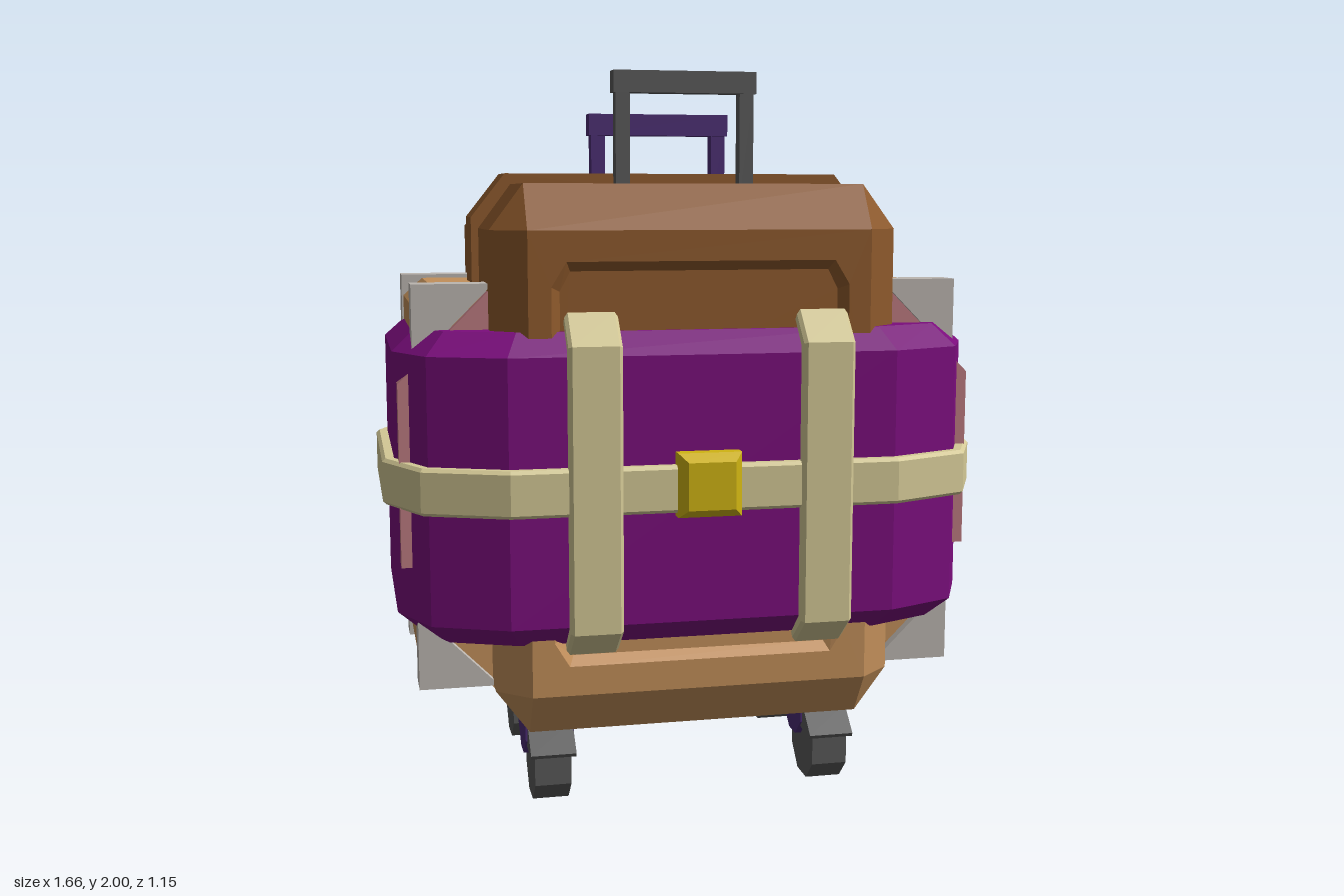
import * as THREE from 'three';

const mat = (name, color, side = THREE.FrontSide) => {
  const m = new THREE.MeshStandardMaterial({ color, flatShading: true, side });
  m.name = name;
  return m;
};

// Joins matching counter-clockwise cross-sections stacked along +z; rings = [{z, pts}]
function loft(rings, capStart = false, capEnd = false) {
  const pos = [];
  const n = rings[0].pts.length;
  const put = (r, j) => pos.push(...rings[r].pts[j % n], rings[r].z);
  for (let i = 0; i < rings.length - 1; i++)
    for (let j = 0; j < n; j++) {
      put(i, j); put(i, j + 1); put(i + 1, j + 1);
      put(i, j); put(i + 1, j + 1); put(i + 1, j);
    }
  const last = rings.length - 1;
  for (let j = 1; j < n - 1; j++) {
    if (capStart) { put(0, 0); put(0, j + 1); put(0, j); }
    if (capEnd) { put(last, 0); put(last, j); put(last, j + 1); }
  }
  const g = new THREE.BufferGeometry();
  g.setAttribute('position', new THREE.Float32BufferAttribute(pos, 3));
  g.computeVertexNormals();
  return g;
}

const toShape = (pts) => new THREE.Shape(pts.map((p) => new THREE.Vector2(...p)));

// Extruded outline centred on its depth, with optional hole and small bevel
function prism(pts, depth, hole, bevel = 0) {
  const s = toShape(pts);
  if (hole) s.holes.push(toShape(hole));
  const d = depth - 2 * bevel;
  return new THREE.ExtrudeGeometry(s, {
    depth: d, bevelEnabled: bevel > 0, bevelThickness: bevel, bevelSize: bevel,
    bevelOffset: -bevel, bevelSegments: 1,
  }).translate(0, 0, -d / 2);
}
// Same, with the outline given as (z, y) and the depth running along x
const sidePrism = (pts, depth, bevel) => prism(pts, depth, null, bevel).rotateY(-Math.PI / 2);

// Twelve-sided plan outline from one quarter, counter-clockwise
function quarterOutline(q) {
  const m = (sx, sy) => q.map(([x, y]) => [x * sx, y * sy]);
  return [...m(1, 1).reverse(), ...m(-1, 1), ...m(-1, -1).reverse(), ...m(1, -1)];
}

export function createModel() {
  const model = new THREE.Group();
  model.name = 'suitcaseBundle';
  const brown = mat('brown leather', 0x8f5a2c);
  const tan = mat('tan leather', 0xc28f5a);
  const purple = mat('purple fabric', 0x7a0d7c);
  const cream = mat('cream strap', 0xd4c996);
  const silver = mat('silver corner', 0xbcb6b0);
  const pink = mat('pink lining', 0xbc7a80);
  const gold = mat('gold buckle', 0xd0b412);
  const grey = mat('dark grey', 0x595959);
  const violet = mat('violet plastic', 0x4b2c74);

  const add = (parent, name, geo, material, x = 0, y = 0, z = 0) => {
    const m = new THREE.Mesh(geo, material);
    m.name = name;
    m.position.set(x, y, z);
    parent.add(m);
    return m;
  };
  const box = (w, h, d) => new THREE.BoxGeometry(w, h, d);

  // Main suitcase: two equal halves with chamfered corners and recessed panels
  const section = (a, h1, b, h2) => [[-a, 0], [a, 0], [a, h1], [b, h2], [-b, h2], [-a, h1]];
  const mid = section(0.55, 0.615, 0.46, 0.735);
  const end = section(0.46, 0.615, 0.46, 0.615);
  const shellGeo = loft([
    { z: -0.46, pts: end }, { z: -0.38, pts: mid }, { z: 0.38, pts: mid }, { z: 0.46, pts: end }]);
  const recess = (i) => [
    [-0.4 + i, 0.1 + i], [-0.4 + i, 0.47 - i / 2], [-0.36 + i / 2, 0.535 - i],
    [0.36 - i / 2, 0.535 - i], [0.4 - i, 0.47 - i / 2], [0.4 - i, 0.1 + i]];
  const face = toShape([[-0.46, 0], [0.46, 0], [0.46, 0.615], [-0.46, 0.615]]);
  face.holes.push(toShape(recess(0)));
  const faceGeo = new THREE.ShapeGeometry(face).translate(0, 0, 0.46);
  const recessGeo = loft([{ z: 0.435, pts: recess(0.025) }, { z: 0.46, pts: recess(0) }], true);
  const bandGeo = prism(section(0.57, 0.645, 0.475, 0.765), 0.162);

  for (const [name, material, turn] of [['upperCase', brown, 0], ['lowerCase', tan, Math.PI]]) {
    const half = new THREE.Group();
    half.name = name;
    half.position.y = 0.955;
    half.rotation.z = turn;
    add(half, 'caseShell', shellGeo, material);
    add(half, 'centreBand', bandGeo, material);
    for (const ry of [0, Math.PI]) {
      add(half, 'casePanel', faceGeo, material).rotation.y = ry;
      add(half, 'panelRecess', recessGeo, material).rotation.y = ry;
    }
    model.add(half);
  }

  // Wide inner trunk with pink lining and silver corners
  add(model, 'trunk', prism([
    [-0.69, 0.355], [0.69, 0.355], [0.745, 0.4], [0.745, 1.37], [0.69, 1.42],
    [-0.69, 1.42], [-0.745, 1.37], [-0.745, 0.4]], 0.6), tan);
  add(model, 'trunkLining', prism([
    [-0.79, 0.68], [0.79, 0.68], [0.79, 1.17], [0.55, 1.41], [-0.55, 1.41], [-0.79, 1.17]], 0.67), pink);
  for (const sx of [-1, 1])
    for (const [y, dir] of [[1.43, -1], [0.34, 1]])
      for (const sz of [-1, 1])
        add(model, 'trunkCorner', prism([
          [sx * 0.75, y], [sx * 0.55, y], [sx * 0.55, y + dir * 0.015],
          [sx * 0.735, y + dir * 0.2], [sx * 0.75, y + dir * 0.2]], 0.1), silver, 0, 0, sz * 0.277);

  // Purple wrap, belt and straps
  const wrap = new THREE.Group();
  wrap.name = 'wrap';
  wrap.position.z = -0.012;
  model.add(wrap);
  const outer = quarterOutline([[0.52, 0.52], [0.72, 0.435], [0.8, 0.265]]);
  const lip = quarterOutline([[0.49, 0.455], [0.67, 0.38], [0.735, 0.24]]);
  add(wrap, 'fabricWrap', loft([
    { z: 0.48, pts: lip }, { z: 0.54, pts: outer }, { z: 1.25, pts: outer }, { z: 1.31, pts: lip },
  ], true, true).rotateX(-Math.PI / 2), purple);
  const beltOuter = quarterOutline([[0.52, 0.552], [0.742, 0.46], [0.832, 0.272]]);
  const beltInner = quarterOutline([[0.515, 0.512], [0.715, 0.428], [0.792, 0.262]]);
  add(wrap, 'belt', prism(beltOuter, 0.125, beltInner, 0.009).rotateX(-Math.PI / 2), cream, 0, 0.902, 0);

  const strapGeo = sidePrism([
    [0.455, 0.48], [0.478, 0.455], [0.567, 0.53], [0.567, 1.28], [0.488, 1.362],
    [0.462, 1.335], [0.525, 1.265], [0.525, 0.545]], 0.14, 0.009);
  for (const x of [-0.3, 0.32]) {
    add(wrap, 'frontStrap', strapGeo, cream, x);
    add(wrap, 'backStrap', strapGeo, cream, x).rotation.y = Math.PI;
  }

  // Buckle: a block with a narrower front face
  const square = (r) => [[-r, -r], [r, -r], [r, r], [-r, r]];
  add(model, 'buckle', loft([
    { z: 0.5, pts: square(0.085) }, { z: 0.545, pts: square(0.085) }, { z: 0.572, pts: square(0.063) },
  ], true, true), gold, 0, 0.913, 0);

  // Two pull handles
  function handle(name, material, x, top, z, depth) {
    const g = new THREE.Group();
    g.name = name;
    g.position.set(x, 0, z);
    add(g, 'grip', box(0.405, 0.06, depth), material, 0, top - 0.03, 0);
    const h = top - 0.05 - 1.65;
    for (const s of [-1, 1])
      add(g, 'post', box(0.04, h, depth * 0.75), material, s * 0.176, 1.65 + h / 2, 0);
    model.add(g);
  }
  handle('frontHandle', grey, 0.023, 2, 0.115, 0.055);
  handle('backHandle', violet, -0.018, 1.89, -0.055, 0.058);

  // Four caster wheels with forks and fenders
  const wheelGeo = new THREE.CylinderGeometry(0.108, 0.108, 0.1, 8)
    .rotateY(Math.PI / 8).rotateZ(Math.PI / 2);
  const forkGeo = sidePrism([
    [0.13, 0.225], [0.13, 0.165], [0.19, 0.115], [0.25, 0.115], [0.3, 0.165], [0.3, 0.225]], 0.135);
  const fenderGeo = sidePrism([
    [0.24, 0.215], [0.24, 0.15], [0.375, 0.14], [0.38, 0.15], [0.305, 0.215]], 0.125);
  for (const x of [-0.395, 0.395])
    for (const turn of [0, Math.PI]) {
      const c = new THREE.Group();
      c.name = 'caster';
      c.position.x = x;
      c.rotation.y = turn;
      add(c, 'wheel', wheelGeo, grey, 0, 0.1, 0.262);
      add(c, 'fork', forkGeo, violet);
      add(c, 'fender', fenderGeo, grey);
      model.add(c);
    }

  return model;
}
